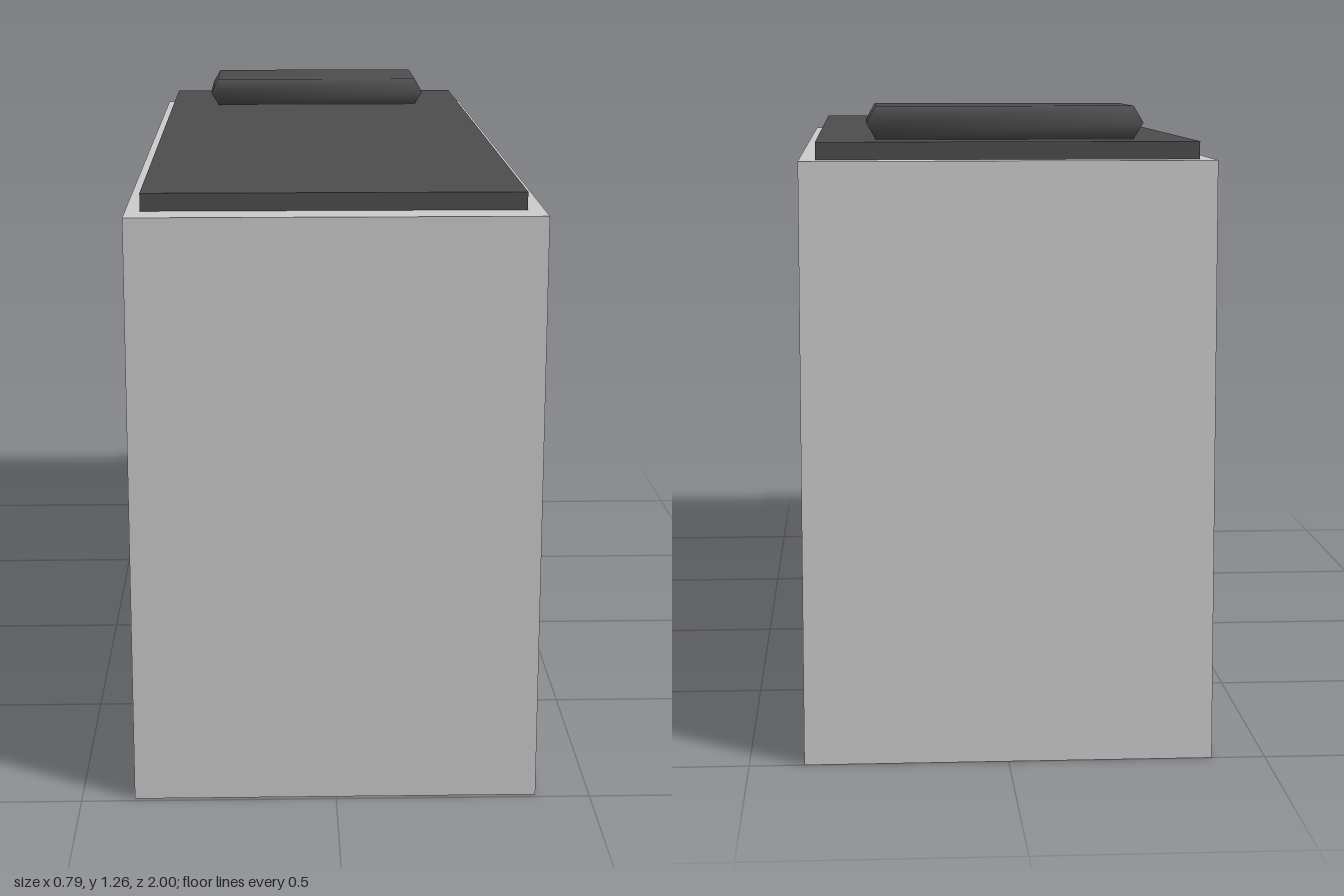
import * as THREE from 'three';
import { mergeVertices } from 'three/addons/utils/BufferGeometryUtils.js';

const grey = new THREE.MeshStandardMaterial({ color: 0xcccccc });
const dark = new THREE.MeshStandardMaterial({ color: 0x4d4d4d });

// Side outlines as [z, y] corners
const OUTLINE = [[0.99, 0], [-1, 0], [-0.97, 1.157], [1, 1.157]];
const NICHE = [[0.93, 0.34], [-0.93, 0.34], [-0.923, 0.905], [0.935, 0.905]];
const toPoints = (list) => list.map(([z, y]) => new THREE.Vector2(-z, y));

// Side outline extruded across the width from x0 to x1
function slab(name, x0, x1, hole) {
  const shape = new THREE.Shape(toPoints(OUTLINE));
  if (hole) shape.holes.push(new THREE.Path(toPoints(hole)));
  const geo = new THREE.ExtrudeGeometry(shape, { depth: x1 - x0, bevelEnabled: false });
  geo.rotateY(Math.PI / 2).translate(x0, 0, 0);
  const mesh = new THREE.Mesh(geo, grey);
  mesh.name = name;
  return mesh;
}

// Soft block with a bulging waist and smooth normals
function pillowGeometry() {
  const geo = new THREE.BoxGeometry(0.5, 0.065, 0.25, 1, 2, 1);
  geo.deleteAttribute('uv');
  geo.deleteAttribute('normal');
  const soft = mergeVertices(geo);
  const p = soft.attributes.position;
  for (let i = 0; i < p.count; i++) {
    if (Math.abs(p.getY(i)) < 0.001) {
      p.setX(i, Math.sign(p.getX(i)) * 0.268);
      p.setZ(i, Math.sign(p.getZ(i)) * 0.137);
    }
  }
  soft.computeVertexNormals();
  return soft;
}

// Mattress with its pillow, resting at height y
function bed(name, y) {
  const group = new THREE.Group();
  group.name = name;
  const mattress = new THREE.Mesh(new THREE.BoxGeometry(0.73, 0.035, 1.85), dark);
  mattress.name = 'mattress';
  mattress.position.set(-0.003, 0.0175, -0.001);
  const pillow = new THREE.Mesh(pillowGeometry(), dark);
  pillow.name = 'pillow';
  pillow.position.set(-0.003, 0.0675, -0.7);
  group.add(mattress, pillow);
  group.position.y = y;
  return group;
}

export function createModel() {
  const model = new THREE.Group();
  model.name = 'bunkBed';
  model.add(
    slab('backPanel', -0.396, -0.372),
    slab('bunkFrame', -0.372, 0.394, NICHE),
    bed('upperBed', 1.156),
    bed('lowerBed', 0.342)
  );
  return model;
}
